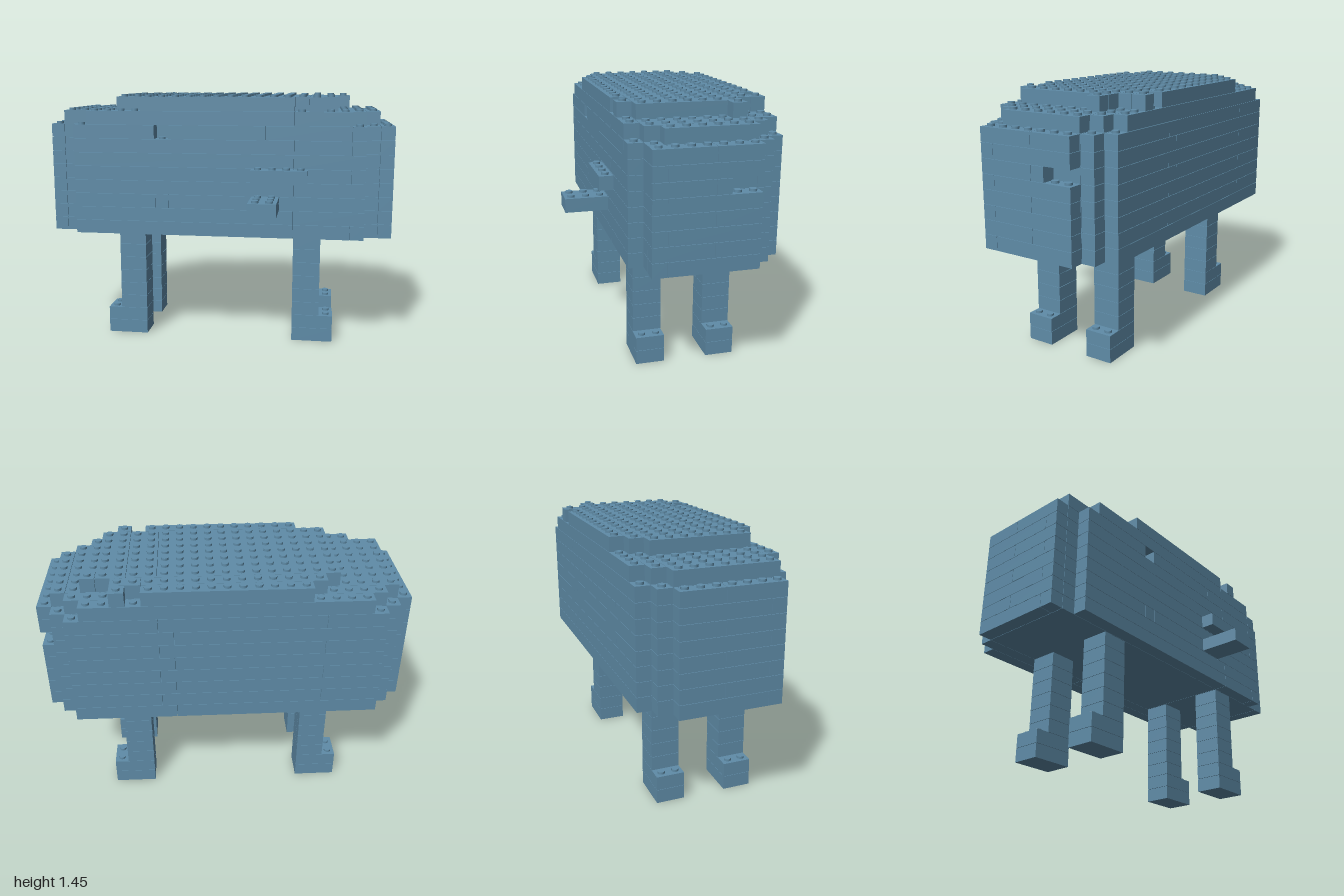
import * as THREE from 'three';
import { mergeGeometries } from 'three/addons/utils/BufferGeometryUtils.js';

const U = 0.08;     // one stud pitch, also one course height
const GAP = 0.002;  // fine seam between bricks

export function createModel() {
  const model = new THREE.Group();
  model.name = 'brickAnimal';
  const blue = new THREE.MeshStandardMaterial({ color: 0x5f8ca8 });
  blue.name = 'dusty blue';
  const filled = new Set();
  const key = (x, k, z) => `${x},${k},${z}`;
  const parts = {};

  // A brick covering grid cells x0..x1 and z0..z1 (inclusive) in course k
  function brick(part, k, x0, x1, z0, z1) {
    const g = new THREE.BoxGeometry((x1 - x0 + 1) * U - GAP, U - GAP, (z1 - z0 + 1) * U - GAP);
    g.translate((x0 + x1) / 2 * U, (k + 0.5) * U, (z0 + z1) / 2 * U);
    (parts[part] ??= []).push(g);
    for (let x = x0; x <= x1; x++) for (let z = z0; z <= z1; z++) filled.add(key(x, k, z));
  }

  // A row of bricks along x; each joint is the first cell of the next brick
  function row(part, k, x0, x1, z0, z1, joints = []) {
    const starts = [x0, ...joints];
    starts.forEach((s, i) => brick(part, k, s, i + 1 < starts.length ? starts[i + 1] - 1 : x1, z0, z1));
  }

  // Body: eight full courses with stepped corners
  for (let k = 8; k < 16; k++) {
    const odd = k % 2;
    if (k === 15) {               // small opening in the top front row
      row('body', k, -10, -5, 3, 3);
      row('body', k, -3, 10, 3, 3, [4, 10]);
    } else {
      row('body', k, -10, 10, 3, 3, k === 10 ? [-4, -3, 5] : odd ? [6] : [6, 10]);
    }
    row('body', k, -11, 11, -4, 2, [6]);
    row('body', k, -11, 11, -5, -5, odd ? [6] : [-2]);
    row('body', k, -10, 10, -6, -6, odd ? [-6, 5] : [4]);
    // end slabs, with a slot in the left end
    const cut = odd ? -2 : 1;
    brick('body', k, -12, -12, -4, cut);
    brick('body', k, -12, -12, cut + 1, 2);
    if (k !== 13) brick('body', k, 12, 12, -4, cut);
    else brick('body', k, 12, 12, -2, cut);
    brick('body', k, 12, 12, cut + 1, 2);
  }

  // Back: two inset courses
  row('back', 16, -9, 9, 3, 3, [6]);
  row('back', 16, -11, 10, -4, 2, [6]);
  brick('back', 16, 11, 11, -4, 1);
  row('back', 16, -10, 10, -5, -5);
  row('back', 16, -9, 9, -6, -6);
  for (const z of [3, -6]) {
    brick('back', 17, -5, 5, z, z);
    brick('back', 17, 7, 7, z, z);
  }
  row('back', 17, -7, 8, -4, 2, [5, 7]);
  brick('back', 17, 9, 9, -4, -4);
  row('back', 17, -6, 7, -5, -5, [6]);

  // Plates jutting from the front
  brick('lowerLedge', 10, 3, 4, 4, 6);
  brick('upperLedge', 12, 3, 6, 4, 4);

  // Legs with feet that point outwards
  for (const [side, x0, foot] of [['left', 6, [6, 8]], ['right', -7, [-8, -6]]]) {
    for (const [end, z0] of [['front', 1], ['rear', -4]]) {
      for (let k = 0; k < 8; k++) {
        const [a, b] = k < 2 ? foot : [x0, x0 + 1];
        brick(`${end}${side}${k < 2 ? 'Foot' : 'Leg'}`, k, a, b, z0, z0 + 1);
      }
    }
  }

  // Studs wherever nothing sits on top
  const stud = new THREE.CylinderGeometry(0.02, 0.02, 0.013, 12);
  parts.studs = [];
  for (const cell of filled) {
    const [x, k, z] = cell.split(',').map(Number);
    if (filled.has(key(x, k + 1, z))) continue;
    parts.studs.push(stud.clone().translate(x * U, (k + 1) * U + 0.0055, z * U));
  }

  for (const [name, geometries] of Object.entries(parts)) {
    const mesh = new THREE.Mesh(mergeGeometries(geometries), blue);
    mesh.name = name;
    model.add(mesh);
  }
  return model;
}
